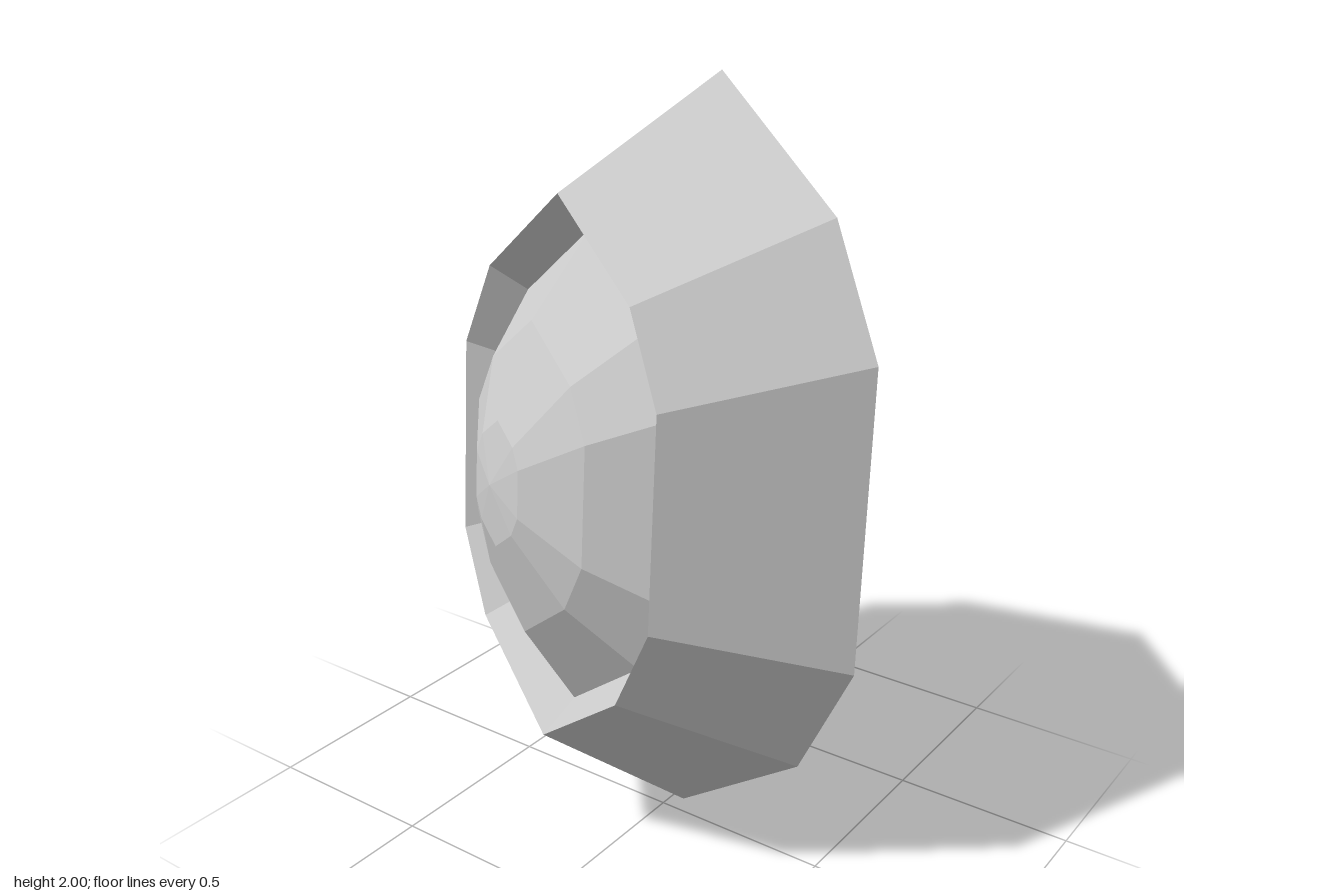
import * as THREE from 'three';

// Half of a ten-sided tilted outline; the other half is its point reflection.
const half = [
  [-0.035, 1.0, -0.125], [0.43, 0.725, 0.085], [0.61, 0.425, 0.185],
  [0.638, -0.325, 0.275], [0.48, -0.653, 0.255],
].map((p) => new THREE.Vector3(...p));
const outline = [...half, ...half.map((p) => p.clone().negate())];

const base = new THREE.Vector3(0, 1, -0.175);       // centre of the widest ring
const axis = new THREE.Vector3(-0.352, 0.107, 0.93); // direction the stone faces

// A copy of the outline, scaled and moved along the axis
function ring([scale, height]) {
  return outline.map((p) =>
    p.clone().multiplyScalar(scale).add(base).addScaledVector(axis, height));
}

// Faceted skin through a list of [scale, height] rings; scale 0 is a point
function facets(name, profile, material) {
  const rings = profile.map(ring);
  const points = [];
  for (let k = 0; k < rings.length - 1; k++) {
    const a = rings[k], b = rings[k + 1];
    for (let i = 0; i < outline.length; i++) {
      const j = (i + 1) % outline.length;
      if (profile[k + 1][0] > 0) points.push(a[i], b[i], b[j]);
      if (profile[k][0] > 0) points.push(a[i], b[j], a[j]);
    }
  }
  const geometry = new THREE.BufferGeometry().setFromPoints(points);
  geometry.computeVertexNormals();
  const mesh = new THREE.Mesh(geometry, material);
  mesh.name = name;
  return mesh;
}

export function createModel() {
  const grey = new THREE.MeshStandardMaterial({ color: 0xcccccc });
  grey.name = 'light grey';
  grey.flatShading = true;

  const group = new THREE.Group();
  group.name = 'mountedGem';
  group.add(
    facets('hollowBack', [[0, 0.21], [1, 0]], grey),
    facets('bevelledSetting', [[1, 0], [0.7, 0.467]], grey),
    facets('innerRim', [[0.7, 0.467], [0.613, 0.375]], grey),
    facets('domedStone', [[0.613, 0.375], [0.4, 0.53], [0.16, 0.618], [0, 0.638]], grey),
  );
  return group;
}
